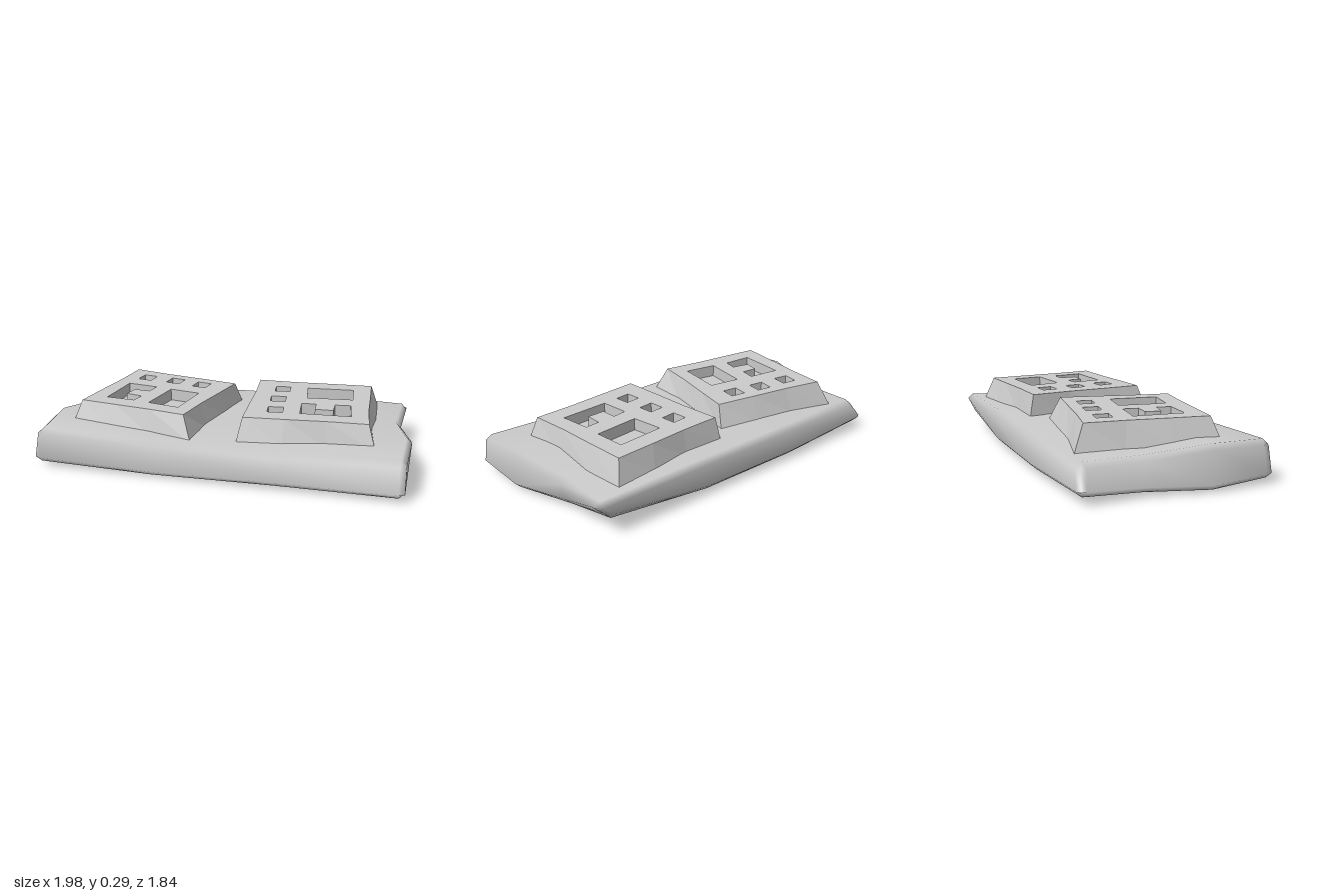
import * as THREE from 'three';

const grey = () => new THREE.MeshStandardMaterial({ color: 0xcccccc, side: THREE.DoubleSide });
const mix = (a, b, t) => a + (b - a) * t;
const mix2 = (p, q, t) => p.map((a, k) => mix(a, q[k], t));

// Value at t (0..1) in a row of evenly spaced numbers or points
function along(row, t) {
  const f = t * (row.length - 1), i = Math.min(Math.floor(f), row.length - 2);
  return Array.isArray(row[0]) ? mix2(row[i], row[i + 1], f - i) : mix(row[i], row[i + 1], f - i);
}

// Ends of the slab in plan [x, z], running from its back edge to its front edge
const leftTop = [[-0.94, 0.17], [-0.745, 0.41], [-0.62, 0.69], [-0.41, 0.91]];
const leftLow = [[-1, 0.19], [-0.79, 0.42], [-0.645, 0.70], [-0.42, 0.93]];
const rightTop = [[0.38, -0.93], [0.56, -0.68], [0.81, -0.48], [0.98, -0.25]];
const rightLow = [[0.34, -0.87], [0.55, -0.66], [0.81, -0.47], [1, -0.23]];
// Heights: one row per station from left to right
const topY = [[0.17, 0.17, 0.21, 0.2], [0.18, 0.19, 0.19, 0.185], [0.19, 0.19, 0.19, 0.175], [0.18, 0.17, 0.21, 0.195]];
const lowY = [[0.04, 0.02, 0.01, 0.025], [0.02, 0, 0, 0.01], [0.02, 0, 0, 0.02], [0.07, 0.03, 0.01, 0.02]];
const height = (table, u, v) => along(table.map((row) => along(row, v)), u);

// Uneven slab lofted from bevelled cross-sections
function makeSlab() {
  const bevel = 0.025, third = 1 / 3;
  const tops = [0.03, third, 2 * third, 0.97];
  const section = [
    ...tops.map((v) => [v, 1, 0]), [1, 1, 1], [1, 0, 1],
    ...tops.slice().reverse().map((v) => [v, 0, 0]), [0, 0, 1], [0, 1, 1],
  ];
  const stations = [0, 0.015, third, 2 * third, 0.985, 1];
  const n = section.length, pos = [], index = [];
  for (const u of stations) {
    const isEnd = u === 0 || u === 1;
    for (const [v0, upper, side] of section) {
      const v = isEnd ? mix(0.015, 0.985, v0) : v0;
      const p = mix2(along(upper ? leftTop : leftLow, v), along(upper ? rightTop : rightLow, v), u);
      const bulge = -0.015 * Math.sin(Math.PI * u) * (1 - v);
      const drop = bevel * (side || isEnd ? 1 : 0);
      const y = upper ? height(topY, u, v) - drop : height(lowY, u, v) + drop;
      pos.push(p[0] + bulge, y, p[1] + bulge);
    }
  }
  for (let i = 0; i < stations.length - 1; i++) {
    for (let j = 0; j < n; j++) {
      const a = i * n + j, b = i * n + (j + 1) % n;
      index.push(a, b, b + n, a, b + n, a + n);
    }
  }
  // End faces
  const last = (stations.length - 1) * n;
  for (const [a, b, c, d] of [[0, 1, 8, 9], [1, 2, 7, 8], [2, 3, 6, 7], [3, 4, 5, 6], [11, 0, 9, 10]]) {
    index.push(a, c, b, a, d, c);
    index.push(last + a, last + b, last + c, last + a, last + c, last + d);
  }
  const g = new THREE.BufferGeometry();
  g.setAttribute('position', new THREE.Float32BufferAttribute(pos, 3));
  g.setIndex(index);
  g.computeVertexNormals();
  return g;
}

// Wall between two closed plan loops at two heights
function wall(low, y0, high, y1) {
  const pos = [];
  low.forEach((a, i) => {
    const k = (i + 1) % low.length, b = low[k], c = high[k], d = high[i];
    const A = [a[0], y0, a[1]], B = [b[0], y0, b[1]], C = [c[0], y1, c[1]], D = [d[0], y1, d[1]];
    pos.push(...A, ...C, ...B, ...A, ...D, ...C);
  });
  const g = new THREE.BufferGeometry();
  g.setAttribute('position', new THREE.Float32BufferAttribute(pos, 3));
  g.computeVertexNormals();
  return g;
}

// Level face with optional holes
function level(loop, y, holes = []) {
  const toPlan = (l) => l.map(([x, z]) => new THREE.Vector2(x, -z));
  const shape = new THREE.Shape(toPlan(loop));
  holes.forEach((h) => shape.holes.push(new THREE.Path(toPlan(h))));
  return new THREE.ShapeGeometry(shape).rotateX(-Math.PI / 2).translate(0, y, 0);
}

// Split each side in three, pushing the middle points inwards unevenly
function roughen(loop, amount) {
  const cx = loop.reduce((s, p) => s + p[0], 0) / loop.length;
  const cz = loop.reduce((s, p) => s + p[1], 0) / loop.length;
  return loop.flatMap((p, i) => {
    const q = loop[(i + 1) % loop.length];
    return [p, ...[1, 2].map((k) => mix2(mix2(p, q, k / 3), [cx, cz], amount * (k === 1 + i % 2 ? 1 : 0.3)))];
  });
}

// Small square hole around a centre
const square = ([x, z], angle) => [0, 1, 2, 3].map((k) => {
  const a = angle + Math.PI / 4 + k * Math.PI / 2;
  return [x + 0.055 * Math.cos(a), z + 0.055 * Math.sin(a)];
});

const blocks = [
  {
    name: 'leftRaisedBlock',
    base: [[-0.80, 0.11], [-0.19, -0.22], [0.14, 0.36], [-0.44, 0.70]],
    top: [[-0.73, 0.13], [-0.18, -0.155], [0.07, 0.35], [-0.43, 0.64]],
    angle: -0.52,
    squares: [[-0.56, 0.17], [-0.415, 0.08], [-0.27, 0.005]],
    recesses: [
      [[-0.305, 0.18], [-0.16, 0.10], [-0.04, 0.31], [-0.19, 0.39]],
      [[-0.53, 0.305], [-0.385, 0.22], [-0.35, 0.29], [-0.42, 0.335], [-0.385, 0.405], [-0.30, 0.365], [-0.27, 0.43], [-0.395, 0.515]],
    ],
  },
  {
    name: 'rightRaisedBlock',
    base: [[-0.18, -0.32], [0.30, -0.78], [0.76, -0.28], [0.28, 0.19]],
    top: [[-0.15, -0.31], [0.30, -0.72], [0.71, -0.28], [0.27, 0.14]],
    angle: Math.PI / 4,
    squares: [[0.05, -0.305], [0.16, -0.18], [0.28, -0.06]],
    recesses: [
      [[0.295, -0.59], [0.405, -0.475], [0.24, -0.31], [0.12, -0.42]],
      [[0.465, -0.40], [0.58, -0.29], [0.395, -0.12], [0.29, -0.225], [0.34, -0.28], [0.395, -0.22], [0.465, -0.28], [0.41, -0.345]],
    ],
  },
];

export function createModel() {
  const model = new THREE.Group();
  model.name = 'stoneSlab';
  const material = grey();
  const add = (parent, name, geometry) => {
    const mesh = new THREE.Mesh(geometry, material);
    mesh.name = name;
    parent.add(mesh);
  };
  add(model, 'slab', makeSlab());

  // Raised blocks with sloping sides and sunken recesses
  const yTop = 0.295, yFloor = 0.235, yBase = 0.17;
  for (const b of blocks) {
    const group = new THREE.Group();
    group.name = b.name;
    model.add(group);
    const top = roughen(b.top, 0.02);
    const holes = [...b.squares.map((c) => square(c, b.angle)), ...b.recesses];
    add(group, 'slopingSides', wall(roughen(b.base, 0.05), yBase, top, yTop));
    add(group, 'topFace', level(top, yTop, holes));
    holes.forEach((h, i) => {
      add(group, `recessWall${i + 1}`, wall(h.slice().reverse(), yFloor, h.slice().reverse(), yTop));
      add(group, `recessFloor${i + 1}`, level(h, yFloor));
    });
  }
  return model;
}
